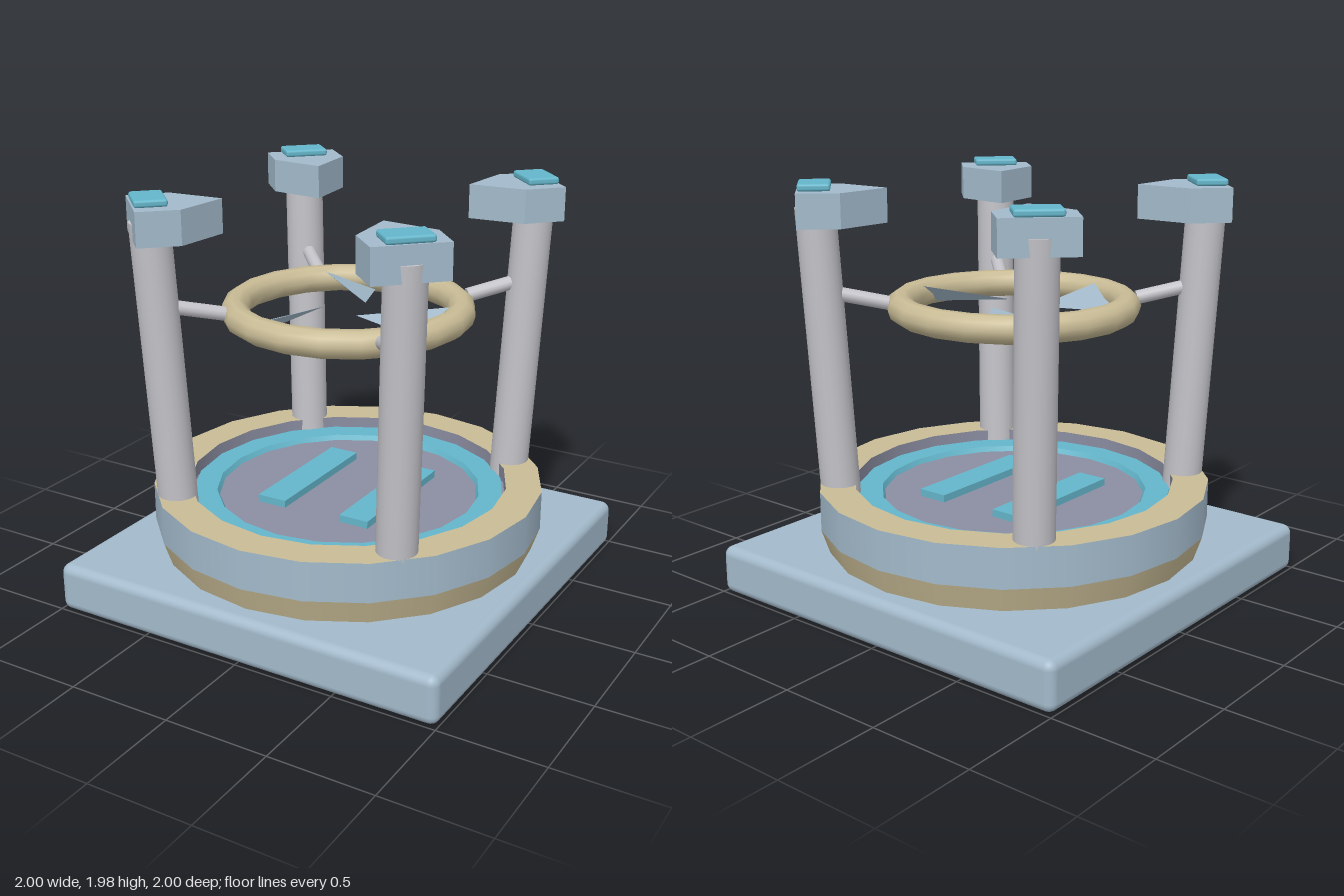
import * as THREE from 'three';
import { RoundedBoxGeometry } from 'three/addons/geometries/RoundedBoxGeometry.js';
import { ConvexGeometry } from 'three/addons/geometries/ConvexGeometry.js';

const SIDES = 20;

function material(name, color) {
  const m = new THREE.MeshStandardMaterial({ color });
  m.name = name;
  return m;
}

export function createModel() {
  const model = new THREE.Group();
  model.name = 'landingPad';

  const blue = material('paleBlue', 0xa3bacb);
  const tan = material('sand', 0xc9bc96);
  const cyan = material('cyan', 0x64b6cb);
  const slate = material('slate', 0x8b8ea2);
  const grey = material('lightGrey', 0xc2c2c8);

  function add(parent, name, geometry, mat, x = 0, y = 0, z = 0) {
    const mesh = new THREE.Mesh(geometry, mat);
    mesh.name = name;
    mesh.position.set(x, y, z);
    parent.add(mesh);
    return mesh;
  }

  // One turned band between two (radius, height) points
  function band(name, mat, r1, y1, r2, y2) {
    const points = [new THREE.Vector2(r1, y1), new THREE.Vector2(r2, y2)];
    return add(model, name, new THREE.LatheGeometry(points, SIDES), mat);
  }

  // Cylinder running between two points
  function rod(parent, name, from, to, radius, sides) {
    const dir = to.clone().sub(from);
    const mesh = add(parent, name, new THREE.CylinderGeometry(radius, radius, dir.length(), sides), grey);
    mesh.position.copy(from).add(to).multiplyScalar(0.5);
    mesh.quaternion.setFromUnitVectors(new THREE.Vector3(0, 1, 0), dir.normalize());
    return mesh;
  }

  // Square base slab
  add(model, 'baseSlab', new RoundedBoxGeometry(2, 0.235, 2, 3, 0.045), blue, 0, 0.1175, 0);

  // Round platform with a recessed deck
  band('platformFoot', tan, 0.9, 0.23, 0.94, 0.35);
  band('platformSide', blue, 0.94, 0.35, 0.94, 0.54);
  band('platformRim', tan, 0.94, 0.54, 0.77, 0.54);
  band('recessWall', slate, 0.77, 0.54, 0.77, 0.46);
  band('deck', slate, 0.77, 0.465, 0, 0.465);

  // Raised cyan ring on the deck
  band('deckRingOuter', cyan, 0.755, 0.46, 0.755, 0.49);
  band('deckRingTop', cyan, 0.755, 0.49, 0.64, 0.49);
  band('deckRingInner', cyan, 0.64, 0.49, 0.625, 0.46);

  // Pair of raised landing strips
  for (const side of [-1, 1]) {
    add(model, 'landingStrip', new THREE.BoxGeometry(0.15, 0.035, 0.68), cyan, side * 0.225, 0.4825, 0);
  }

  // Hanging fan ring
  const ring = new THREE.TorusGeometry(0.532, 0.066, 10, SIDES);
  ring.rotateX(Math.PI / 2);
  add(model, 'fanRing', ring, tan, 0, 1.39, 0);

  // Three pitched, tapering blades reaching in from the ring
  const bladeGeometry = new ConvexGeometry([
    new THREE.Vector3(0.087, 0, 0.08),
    new THREE.Vector3(0.5, 0.05, -0.133),
    new THREE.Vector3(0.5, -0.05, 0.136),
    new THREE.Vector3(0.5, -0.045, -0.02),
  ]);
  for (let i = 0; i < 3; i++) {
    add(model, 'fanBlade', bladeGeometry, blue, 0, 1.39, 0).rotation.y = i * Math.PI * 2 / 3;
  }

  // Plan of a post head: square outer end and a point facing inward
  const plan = new THREE.Shape([
    [0.58, 0], [0.79, -0.176], [0.988, -0.171], [0.988, 0.171], [0.79, 0.176],
  ].map(([x, y]) => new THREE.Vector2(x, y)));
  const headGeometry = new THREE.ExtrudeGeometry(plan, { depth: 0.16, bevelEnabled: false });
  headGeometry.rotateX(-Math.PI / 2);

  // Four corner posts, each built along +x and turned onto a diagonal
  for (let i = 0; i < 4; i++) {
    const corner = new THREE.Group();
    corner.name = 'cornerPost';
    corner.rotation.y = Math.PI / 4 + i * Math.PI / 2;
    model.add(corner);
    rod(corner, 'post', new THREE.Vector3(0.83, 0.44, 0), new THREE.Vector3(0.908, 1.865, 0), 0.094, 20);
    rod(corner, 'strut', new THREE.Vector3(0.585, 1.41, 0), new THREE.Vector3(0.88, 1.472, 0), 0.034, 12);
    add(corner, 'postHead', headGeometry, blue, 0, 1.785, 0);
    add(corner, 'lampPad', new RoundedBoxGeometry(0.15, 0.034, 0.212, 2, 0.012), cyan, 0.908, 1.961, 0);
  }

  return model;
}
